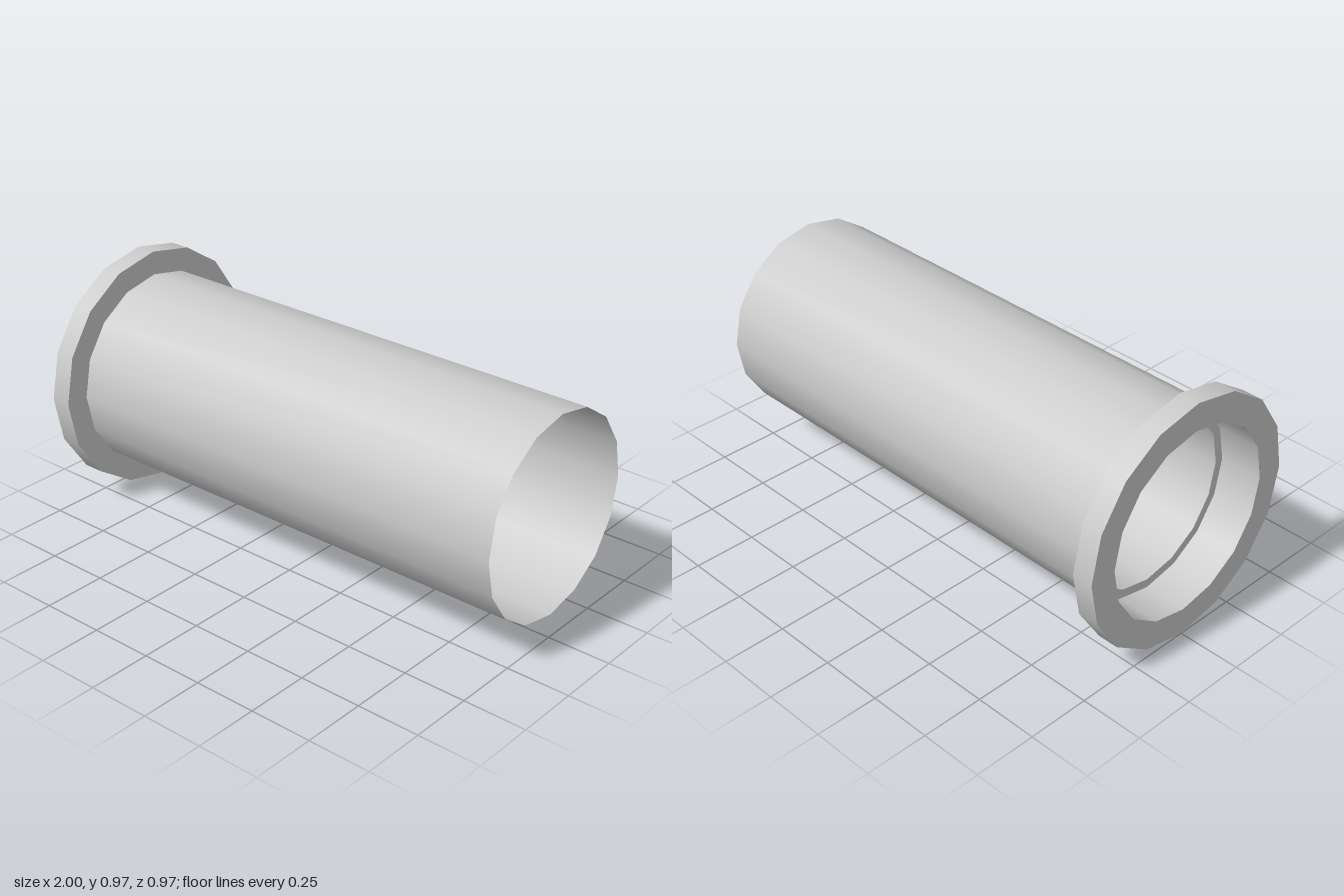
import * as THREE from 'three';

const SIDES = 16;
const RADIUS = 0.487;

export function createModel() {
  const model = new THREE.Group();
  model.name = 'flangedTube';
  const material = new THREE.MeshStandardMaterial({ color: 0xcccccc, side: THREE.DoubleSide });

  // Profile as [radius, x], from the pocket floor out around the flange to the open tube end.
  const floor = [0, 0], pocketEnd = [0.341, 0], pocketStart = [0.341, -0.83];
  const recessEnd = [0.377, -0.83], recessStart = [0.377, -1];
  const rimFront = [RADIUS, -1], rimBack = [RADIUS, -0.917];
  const tubeStart = [0.392, -0.917], tubeEnd = [0.392, 1];

  // Each band is its own lathe, so it is smooth around and sharp at its borders.
  const bands = {
    pocketFloor: [floor, pocketEnd],
    pocketWall: [pocketEnd, pocketStart],
    recessStep: [pocketStart, recessEnd],
    recessWall: [recessEnd, recessStart],
    flangeFace: [recessStart, rimFront],
    flangeEdge: [rimFront, rimBack],
    flangeBack: [rimBack, tubeStart],
    outerTube: [tubeStart, tubeEnd],
  };

  for (const [name, points] of Object.entries(bands)) {
    const profile = points.map(([r, x]) => new THREE.Vector2(r, x));
    const geometry = new THREE.LatheGeometry(profile, SIDES);
    // Lay the axis along x and rest the flange on the ground.
    geometry.rotateZ(-Math.PI / 2);
    geometry.translate(0, RADIUS, 0);
    const mesh = new THREE.Mesh(geometry, material);
    mesh.name = name;
    model.add(mesh);
  }
  return model;
}
